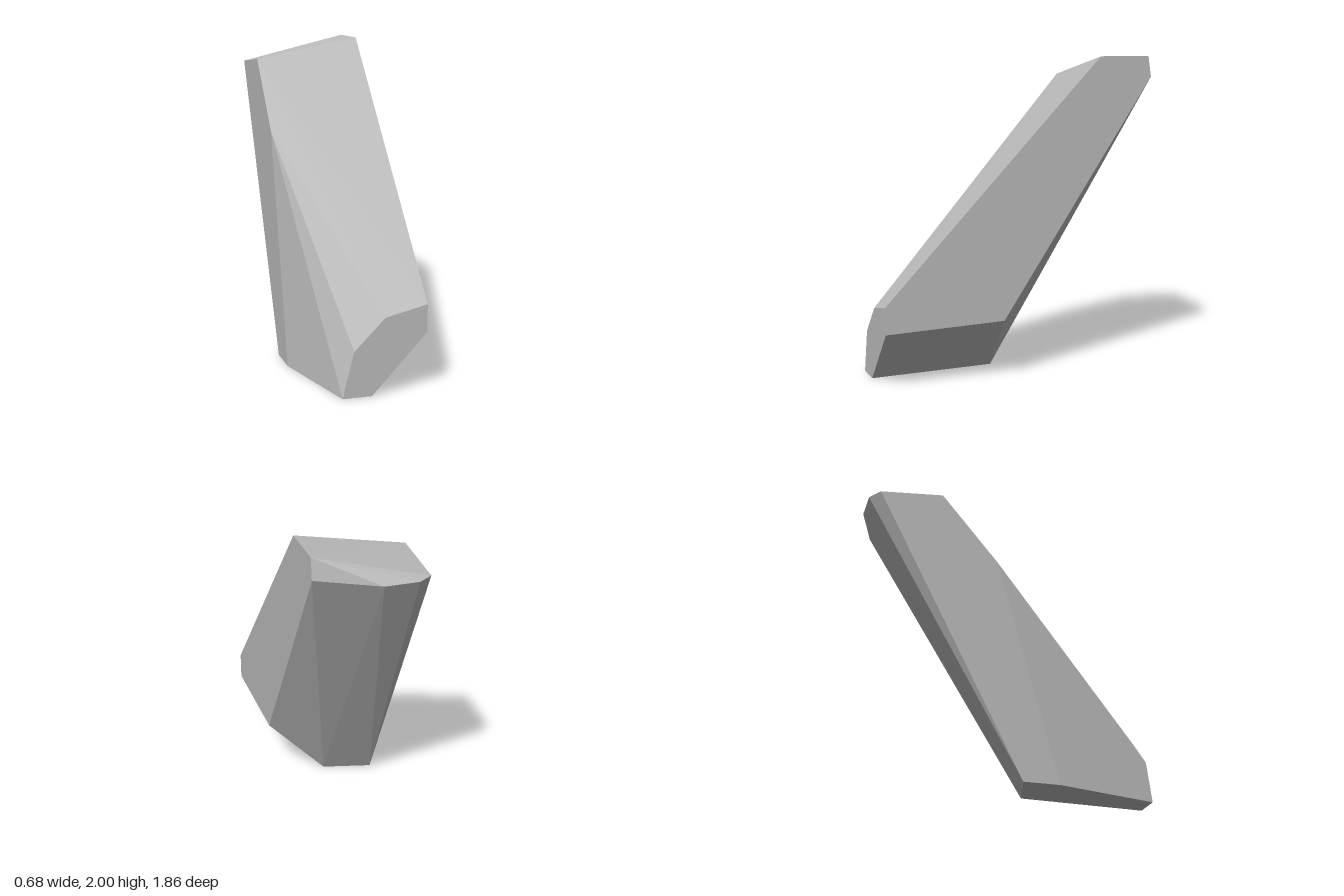
import * as THREE from 'three';
import { ConvexGeometry } from 'three/addons/geometries/ConvexGeometry.js';

const stone = new THREE.MeshStandardMaterial({ color: 0xbcbcbc });
stone.name = 'grey stone';

// Turn [x, y, z] corners into vectors
const corners = (list) => list.map(([x, y, z]) => new THREE.Vector3(x, y, z));

export function createModel() {
  const group = new THREE.Group();
  group.name = 'leaningShard';

  // Upright front end, z = 0.93
  const frontEnd = corners([
    [0.34, 0.36, 0.93], [0.34, 0.53, 0.93], [0.08, 0.47, 0.93],
    [-0.11, 0.28, 0.93], [-0.18, 0, 0.93], [0, 0, 0.93],
  ]);
  // Rear edge of the base and the bevel rising to the left flank
  const base = corners([
    [-0.34, 0, 0.28], [-0.34, 0, 0.05], [-0.03, 0, 0.13], [0.34, 0.38, 0.17],
  ]);
  // Shoulder on the right flank, where the front slope breaks
  const shoulder = corners([[-0.34, 1.44, -0.11]]);
  // Chipped, tilted tip
  const tip = corners([
    [0.34, 2, -0.47], [0.34, 2, -0.8], [0.34, 1.87, -0.82], [-0.04, 1.83, -0.93],
    [-0.25, 1.83, -0.93], [-0.34, 1.83, -0.87], [-0.34, 1.87, -0.47],
  ]);

  const shard = new THREE.Mesh(
    new ConvexGeometry([...frontEnd, ...base, ...shoulder, ...tip]), stone);
  shard.name = 'shard';
  group.add(shard);
  return group;
}
